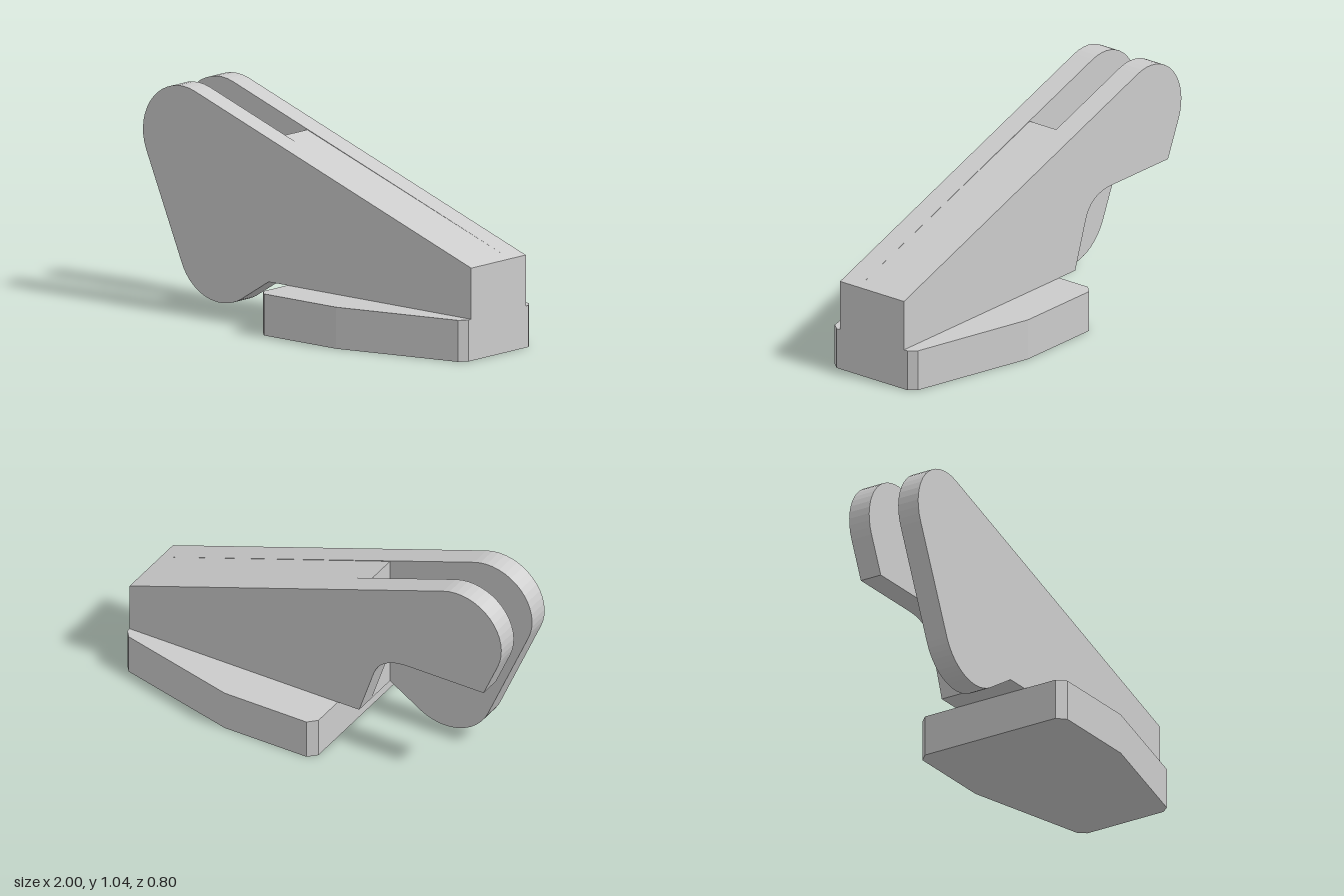
import * as THREE from 'three';

const material = new THREE.MeshStandardMaterial({ color: 0xcccccc, flatShading: true });
const rad = THREE.MathUtils.degToRad;

const HALF_WIDTH = 0.19;   // half thickness of the whole lever
const HALF_SLOT = 0.08;    // half width of the slot between the arms
const SLOT_END = -0.235;   // where the slot stops
const PLATE_TOP = 0.195;

// Extrudes a side profile (x, y) between two z positions
function slab(name, shape, z0, z1) {
  const geometry = new THREE.ExtrudeGeometry(shape, { depth: z1 - z0, bevelEnabled: false, curveSegments: 8 });
  geometry.translate(0, 0, z0);
  const mesh = new THREE.Mesh(geometry, material);
  mesh.name = name;
  return mesh;
}

// Sloping top and rounded tip shared by both arms, ending on the slanted left edge
function startArm() {
  const shape = new THREE.Shape();
  shape.moveTo(SLOT_END, PLATE_TOP);
  shape.lineTo(1, PLATE_TOP);
  shape.lineTo(1, 0.435);
  shape.absarc(-0.765, 0.805, 0.235, rad(70.8), rad(203.4), false);
  return shape;
}

export function createModel() {
  const group = new THREE.Group();

  // Front arm with the rounded lower lobe
  const front = startArm();
  front.absarc(-0.53, 0.309, 0.254, rad(203.4), rad(305.8), false);
  front.closePath();
  group.add(slab('frontArm', front, HALF_SLOT, HALF_WIDTH));

  // Back arm, cut away underneath with a curved inner corner
  const back = startArm();
  back.lineTo(-0.904, 0.535);
  back.lineTo(-0.5, 0.535);
  back.quadraticCurveTo(-0.345, 0.535, -0.31, 0.42);
  back.closePath();
  group.add(slab('backArm', back, -HALF_WIDTH, -HALF_SLOT));

  // Solid core joining the arms beyond the slot
  const core = new THREE.Shape([
    [SLOT_END, PLATE_TOP], [1, PLATE_TOP], [1, 0.435], [SLOT_END, 0.865],
  ].map(([x, y]) => new THREE.Vector2(x, y)));
  group.add(slab('core', core, -HALF_SLOT, HALF_SLOT));

  // Tapered base plate with clipped corners, mirrored about z = 0
  const half = [[-0.12, 0.36], [-0.08, 0.4], [0.36, 0.4], [0.97, 0.247], [1, 0.21]];
  const outline = [...half, ...half.map(([x, z]) => [x, -z]).reverse()];
  const plate = slab('basePlate', new THREE.Shape(outline.map(([x, z]) => new THREE.Vector2(x, z))), 0, PLATE_TOP);
  plate.geometry.rotateX(-Math.PI / 2);
  group.add(plate);

  return group;
}
